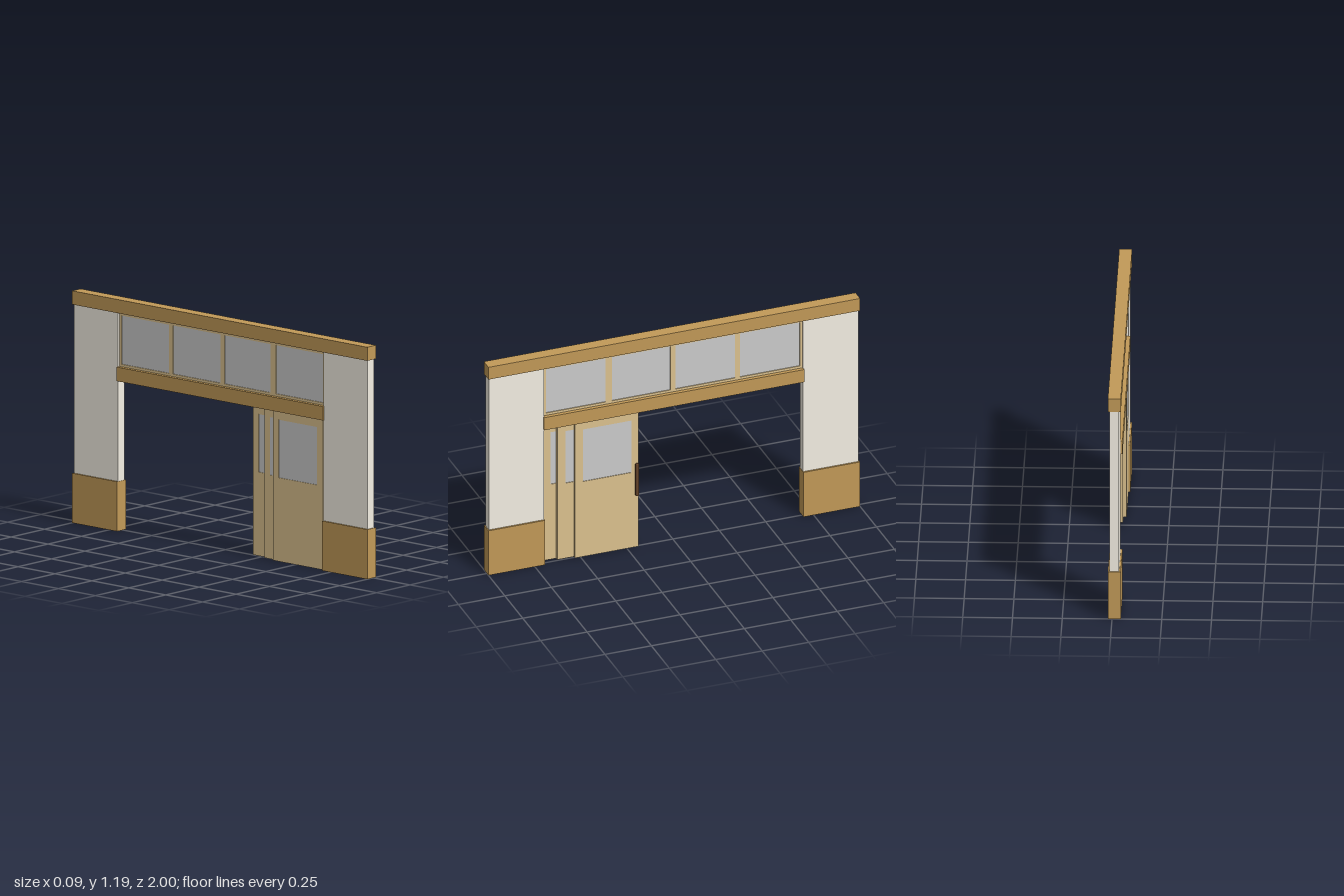
import * as THREE from 'three';

const mat = (color, side = THREE.FrontSide) => new THREE.MeshStandardMaterial({ color, side });
const WOOD = mat(0xc29a58);
const PLASTER = mat(0xf5f0e4);
const DOOR = mat(0xdcc28f);
const GLASS = mat(0xcccccc);
const METAL = mat(0x67452b);
const CX = -0.0115; // centre of the wall thickness

// Box given by its extents on each axis
function box(parent, name, material, [x0, x1], [y0, y1], [z0, z1]) {
  const mesh = new THREE.Mesh(new THREE.BoxGeometry(x1 - x0, y1 - y0, z1 - z0), material);
  mesh.position.set((x0 + x1) / 2, (y0 + y1) / 2, (z0 + z1) / 2);
  mesh.name = name;
  parent.add(mesh);
  return mesh;
}

// Rectangle in the z-y plane; shape x becomes -z once turned
function rect(path, [y0, y1], [z0, z1]) {
  path.moveTo(-z1, y0);
  path.lineTo(-z0, y0);
  path.lineTo(-z0, y1);
  path.lineTo(-z1, y1);
  path.closePath();
  return path;
}

// Framed panel with an opening and a thin pane set inside it
function glazedPanel(name, x, thickness, y, z, glassY, glassZ) {
  const group = new THREE.Group();
  group.name = name;
  const shape = rect(new THREE.Shape(), y, z);
  shape.holes.push(rect(new THREE.Path(), glassY, glassZ));
  const geo = new THREE.ExtrudeGeometry(shape, { depth: thickness, bevelEnabled: false });
  geo.translate(0, 0, -thickness / 2);
  geo.rotateY(Math.PI / 2);
  const frame = new THREE.Mesh(geo, DOOR);
  frame.position.x = x;
  frame.name = name + 'Frame';
  group.add(frame);
  const half = thickness * 0.3;
  box(group, name + 'Glass', GLASS, [x - half, x + half], glassY, glassZ);
  return group;
}

function handle(x, z) {
  const group = new THREE.Group();
  group.name = 'doorHandle';
  // Round grip with bevelled ends
  const r = 0.0098, h = 0.0925, b = 0.004;
  const profile = [[0, -h], [r - b, -h], [r, -h + b], [r, h - b], [r - b, h], [0, h]];
  const grip = new THREE.Mesh(
    new THREE.LatheGeometry(profile.map(p => new THREE.Vector2(...p)), 16), METAL);
  grip.position.set(x, 0.3975, z);
  grip.name = 'handleGrip';
  group.add(grip);
  // Two standoffs
  for (const y of [0.325, 0.468]) {
    const post = new THREE.Mesh(new THREE.CylinderGeometry(0.005, 0.005, 0.024, 12), METAL);
    post.rotation.z = Math.PI / 2;
    post.position.set(x - 0.012, y, z);
    post.name = 'handlePost';
    group.add(post);
  }
  return group;
}

export function createModel() {
  const model = new THREE.Group();
  model.name = 'slidingDoorWall';
  const beamX = [-0.044, 0.021];
  const wallX = [-0.035, 0.012];

  // Beams
  box(model, 'topBeam', WOOD, beamX, [1.122, 1.192], [-1, 1]);
  box(model, 'lintelBeam', WOOD, beamX, [0.772, 0.844], [-0.7, 0.7]);

  // Side walls on wooden plinths
  for (const s of [-1, 1]) {
    const span = (a, b) => [Math.min(s * a, s * b), Math.max(s * a, s * b)];
    box(model, 'wallPanel', PLASTER, wallX, [0.25, 1.124], span(0.697, 0.995));
    box(model, 'wallPlinth', WOOD, beamX, [0, 0.255], span(0.695, 1));
  }

  // Row of transom windows
  for (let i = 0; i < 4; i++) {
    const z1 = 0.697 - i * 0.3485;
    const z0 = z1 - 0.3485;
    model.add(glazedPanel('transomWindow', CX, 0.024, [0.842, 1.124], [z0, z1],
      [0.857, 1.107], [z0 + 0.013, z1 - (i === 1 ? 0.022 : 0.014)]));
  }

  // Three sliding doors stacked on parallel tracks
  [[0.19, 0.53], [0.28, 0.62], [0.353, 0.693]].forEach(([z0, z1], i) => {
    model.add(glazedPanel('slidingDoor', 0.0045 - i * 0.016, 0.015, [0.002, 0.775], [z0, z1],
      [0.432, 0.73], [z0 + 0.037, z1 - 0.043]));
  });
  model.add(handle(0.032, 0.204));

  return model;
}
